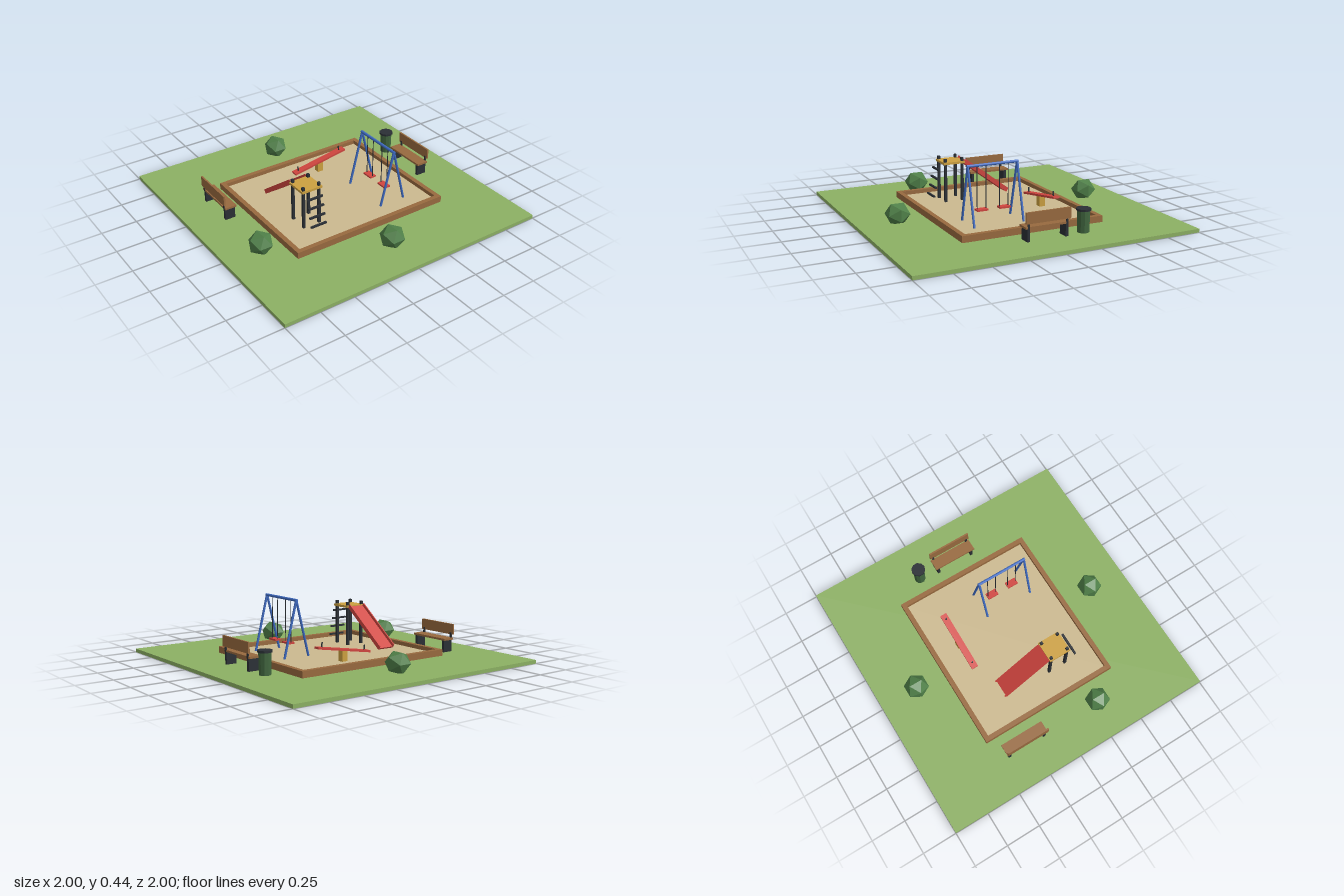
import * as THREE from 'three';

function mat(name, color) {
  const m = new THREE.MeshStandardMaterial({ color });
  m.name = name;
  return m;
}

export function createModel() {
  const grass = mat('grass', 0x8cb063), wood = mat('wood', 0x986a3f), sand = mat('sand', 0xcbb98f);
  const red = mat('red', 0xd0453f), yellow = mat('yellow', 0xcca040), blue = mat('blue', 0x3f6cc4);
  const dark = mat('dark metal', 0x2a2f35), leaf = mat('leaf', 0x4f7f48), green = mat('bin green', 0x41663f);

  const model = new THREE.Group();
  model.name = 'playground';

  function group(name, x = 0, y = 0, z = 0) {
    const g = new THREE.Group();
    g.name = name;
    g.position.set(x, y, z);
    model.add(g);
    return g;
  }
  function add(parent, name, geo, material, x, y, z) {
    const m = new THREE.Mesh(geo, material);
    m.name = name;
    m.position.set(x, y, z);
    parent.add(m);
    return m;
  }
  function box(parent, name, material, w, h, d, x, y, z) {
    return add(parent, name, new THREE.BoxGeometry(w, h, d), material, x, y, z);
  }
  // Round bar between two points
  function bar(parent, name, material, r, a, b) {
    const A = new THREE.Vector3(...a), B = new THREE.Vector3(...b);
    const m = add(parent, name, new THREE.CylinderGeometry(r, r, A.distanceTo(B), 8), material, 0, 0, 0);
    m.position.copy(A).lerp(B, 0.5);
    m.quaternion.setFromUnitVectors(new THREE.Vector3(0, 1, 0), B.sub(A).normalize());
    return m;
  }

  // Lawn and sandpit
  box(model, 'lawn', grass, 2, 0.025, 2, 0, 0.0125, 0);
  const pit = group('sandpit');
  box(pit, 'sand', sand, 1.13, 0.02, 0.97, 0, 0.032, 0);
  for (const s of [-1, 1]) {
    box(pit, 'longBorder', wood, 1.186, 0.048, 0.033, 0, 0.046, s * 0.496);
    box(pit, 'shortBorder', wood, 0.033, 0.048, 0.96, s * 0.5765, 0.046, 0);
  }

  // Slide tower with ladder rungs
  const tower = group('slideTower', -0.323, 0, 0.195);
  box(tower, 'platform', yellow, 0.156, 0.016, 0.16, 0, 0.323, 0);
  for (const x of [-0.061, 0.061]) for (const z of [-0.064, 0.064])
    box(tower, 'post', dark, 0.018, 0.32, 0.018, x, 0.195, z);
  for (let i = 0; i < 4; i++)
    box(tower, 'rung', dark, 0.122, 0.012, 0.014, 0, 0.09 + i * 0.062, 0.152 - i * 0.0145);

  // Sloping slide with side rails
  const slide = group('slide', -0.323, 0.193, -0.053);
  slide.rotation.x = -Math.atan2(0.25, 0.335);
  box(slide, 'slideBed', red, 0.13, 0.012, 0.425, 0, 0, 0);
  for (const s of [-1, 1]) box(slide, 'slideRail', red, 0.008, 0.03, 0.425, s * 0.063, 0.011, 0);

  // Swing frame with two seats
  const swing = group('swing', 0.297, 0, 0.158);
  bar(swing, 'topBar', blue, 0.01, [0, 0.432, -0.187], [0, 0.432, 0.187]);
  for (const z of [-0.18, 0.18]) for (const s of [-1, 1])
    bar(swing, 'swingLeg', blue, 0.0085, [0, 0.435, z], [s * 0.1, 0.035, z]);
  for (const z of [-0.082, 0.082]) {
    box(swing, 'swingSeat', red, 0.048, 0.012, 0.08, 0, 0.13, z);
    for (const s of [-1, 1])
      bar(swing, 'rope', dark, 0.003, [0, 0.43, z + s * 0.032], [0, 0.132, z + s * 0.032]);
  }

  // Seesaw
  const seesaw = group('seesaw', 0.118, 0, -0.305);
  box(seesaw, 'fulcrum', yellow, 0.044, 0.075, 0.044, 0, 0.076, 0);
  const plank = new THREE.Group();
  plank.name = 'seesawPlank';
  plank.position.y = 0.12;
  plank.rotation.z = 0.16;
  seesaw.add(plank);
  box(plank, 'plank', red, 0.44, 0.014, 0.048, 0, 0, 0);
  for (const s of [-1, 1]) bar(plank, 'handle', dark, 0.005, [s * 0.18, 0, 0], [s * 0.18, 0.04, 0]);

  // Benches, with the back on the outer side
  for (const [side, z] of [[-1, -0.285], [1, -0.005]]) {
    const bench = group('bench', side * 0.72, 0, z);
    box(bench, 'benchSeat', wood, 0.085, 0.014, 0.32, -side * 0.003, 0.117, 0);
    box(bench, 'benchBack', wood, 0.012, 0.075, 0.32, side * 0.042, 0.183, 0);
    for (const s of [-1, 1]) {
      box(bench, 'benchLeg', dark, 0.075, 0.087, 0.02, 0, 0.067, s * 0.138);
      box(bench, 'backSupport', dark, 0.008, 0.05, 0.014, side * 0.038, 0.135, s * 0.138);
    }
  }

  // Litter bin
  const bin = group('litterBin', 0.72, 0, -0.285);
  const flatGreen = green, flatDark = dark;
  flatGreen.flatShading = flatDark.flatShading = leaf.flatShading = true;
  add(bin, 'binBody', new THREE.CylinderGeometry(0.043, 0.04, 0.148, 10), flatGreen, 0, 0.098, 0);
  add(bin, 'binLid', new THREE.CylinderGeometry(0.05, 0.05, 0.014, 10), flatDark, 0, 0.178, 0);

  // Faceted bushes
  for (const [x, z] of [[-0.74, 0.298], [0, -0.723], [0, 0.72]]) {
    const bush = add(model, 'bush', new THREE.IcosahedronGeometry(0.088, 0), leaf, x, 0.085, z);
    bush.rotation.y = Math.PI / 2;
    bush.scale.y = 0.8 / 0.85;
  }
  return model;
}
